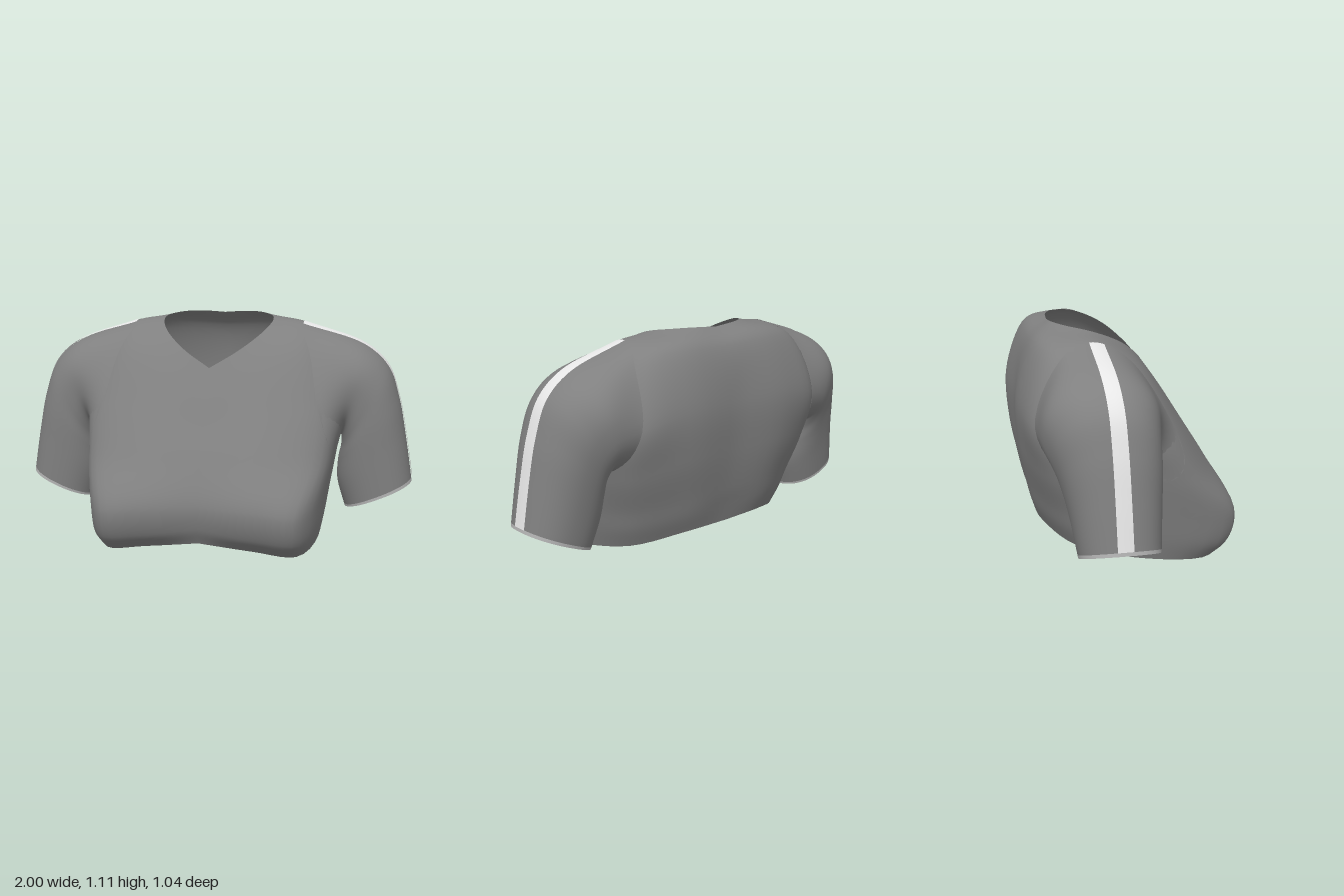
import * as THREE from 'three';

const flat = (name, color) => {
  const m = new THREE.MeshStandardMaterial({ color, side: THREE.DoubleSide });
  m.name = name;
  return m;
};

const curve = (pts) => new THREE.CatmullRomCurve3(pts.map((p) => (p.isVector3 ? p : new THREE.Vector3(...p))));

// Evenly spaced values from a to b
const steps = (a, b, n) => Array.from({ length: n + 1 }, (_, i) => a + (b - a) * i / n);

// Smooth skin over a list of rows of points
function loft(name, rows, material, closed = true) {
  const n = rows[0].length;
  const pos = [];
  const index = [];
  rows.forEach((row) => row.forEach((p) => pos.push(p.x, p.y, p.z)));
  for (let i = 0; i < rows.length - 1; i++) {
    for (let j = 0; j < (closed ? n : n - 1); j++) {
      const k = (j + 1) % n;
      const a = i * n + j, b = i * n + k, c = a + n, d = b + n;
      index.push(a, b, d, a, d, c);
    }
  }
  const g = new THREE.BufferGeometry();
  g.setAttribute('position', new THREE.Float32BufferAttribute(pos, 3));
  g.setIndex(index);
  g.computeVertexNormals();
  const mesh = new THREE.Mesh(g, material);
  mesh.name = name;
  return mesh;
}

// Profiles from hem to neckline, running from front centre round to back centre
const torsoProfiles = [
  [[0, .06, .43], [0, .14, .465], [0, .25, .475], [0, .45, .39], [0, .6, .3], [0, .74, .22], [0, .86, .14]],
  [[.26, .03, .42], [.28, .1, .49], [.29, .24, .515], [.31, .45, .39], [.3, .66, .26], [.25, .84, .15], [.14, .945, .08]],
  [[.46, .003, .38], [.48, .08, .455], [.49, .22, .475], [.56, .45, .28], [.56, .68, .155], [.45, .95, .03], [.25, 1.035, -.03]],
  [[.55, .05, .06], [.57, .15, .05], [.59, .27, .05], [.62, .47, .02], [.65, .68, -.04], [.5, 1.035, -.15], [.28, 1.09, -.16]],
  [[.47, .11, -.27], [.5, .2, -.3], [.52, .3, -.33], [.57, .48, -.38], [.58, .72, -.445], [.48, 1.02, -.36], [.21, 1.11, -.28]],
  [[.25, .165, -.41], [.27, .25, -.44], [.28, .35, -.465], [.32, .55, -.505], [.33, .78, -.515], [.3, 1.035, -.43], [.11, 1.112, -.33]],
  [[0, .17, -.43], [0, .26, -.45], [0, .35, -.47], [0, .55, -.495], [0, .78, -.5], [0, 1.03, -.44], [0, 1.105, -.34]],
].map(curve);

const torsoHalf = (t) => curve(torsoProfiles.map((c) => c.getPoint(t)));

function torsoRing(t) {
  const half = torsoHalf(t).getPoints(30);
  const other = half.slice(1, -1).reverse().map((p) => new THREE.Vector3(-p.x, p.y, p.z));
  return [...half, ...other];
}

// Sleeve sections: outer x, y, centre z, under x, y, half depth
const sleeveSections = [
  [.74, .965, -.19, .635, .5, .262],
  [.86, .86, -.18, .635, .45, .238],
  [.92, .7, -.163, .622, .38, .22],
  [.96, .5, -.15, .62, .28, .2],
  [.995, .28, -.14, .66, .14, .18],
];

// Loop lying on the torso around the armhole
const armholePoint = (c, s) => torsoHalf(.69 + .21 * c).getPoint(.5 - .19 * s);

// Slightly squared circle
const full = (v) => Math.sign(v) * Math.abs(v) ** .88;

// Lengthwise threads run from the armhole down to the cuff
const THREADS = 48;
const threads = Array.from({ length: THREADS }, (_, j) => {
  const angle = j / THREADS * Math.PI * 2;
  const c = full(Math.cos(angle)), s = full(Math.sin(angle));
  return curve([
    armholePoint(Math.cos(angle), Math.sin(angle)),
    ...sleeveSections.map(([ox, oy, z, ux, uy, depth]) => new THREE.Vector3(
      (ox + ux) / 2 + (ox - ux) / 2 * c, (oy + uy) / 2 + (oy - uy) / 2 * c, z + depth * s)),
  ]);
});

const centre = (ring) =>
  ring.reduce((sum, p) => sum.add(p), new THREE.Vector3()).divideScalar(ring.length);

// Section at t, optionally shrunk towards its middle
function sleeveRing(t, scale = 1) {
  const ring = threads.map((c) => c.getPoint(t));
  const mid = centre(ring);
  return ring.map((p) => p.sub(mid).multiplyScalar(scale).add(mid));
}

// Narrow band of constant width along the outer side, lifted just off the cloth
function stripeRow(t) {
  const ring = sleeveRing(t);
  const mid = centre(ring);
  const q = THREADS / 4 - 2;
  const arc = [...ring.slice(-q), ...ring.slice(0, q)];
  return steps(-.035, .035, 4).map((w) => {
    const z = -.168 + .022 * t + w;
    const k = Math.max(1, arc.findIndex((p) => p.z > z));
    const a = arc[k - 1], b = arc[k];
    const p = a.clone().lerp(b, (z - a.z) / (b.z - a.z));
    const out = p.clone().sub(mid).setZ(0).normalize();
    return p.addScaledVector(out, .006);
  });
}

export function createModel() {
  const cloth = flat('grey cloth', 0x808080);
  const white = flat('white stripe', 0xf0f0f0);
  const trim = flat('pale trim', 0xb4b4b4);
  const model = new THREE.Group();
  model.name = 'croppedTop';

  model.add(loft('torso', steps(0, 1, 42).map(torsoRing), cloth));

  for (const side of [1, -1]) {
    const place = (rows) => rows.map((row) => row.map((p) => new THREE.Vector3(side * p.x, p.y, p.z)));
    const sleeve = new THREE.Group();
    sleeve.name = side > 0 ? 'leftSleeve' : 'rightSleeve';
    sleeve.add(
      loft('sleeveCloth', place(steps(0, .985, 40).map((t) => sleeveRing(t))), cloth),
      loft('cuffTrim', place([.985, 1].map((t) => sleeveRing(t))), trim),
      loft('cuffEdge', place([1, .86].map((s) => sleeveRing(1, s))), cloth),
      loft('cuffLining', place(steps(1, .9, 4).map((t) => sleeveRing(t, .86))), trim),
      loft('sleeveStripe', place(steps(.01, .985, 40).map(stripeRow)), white, false),
    );
    model.add(sleeve);
  }
  return model;
}
